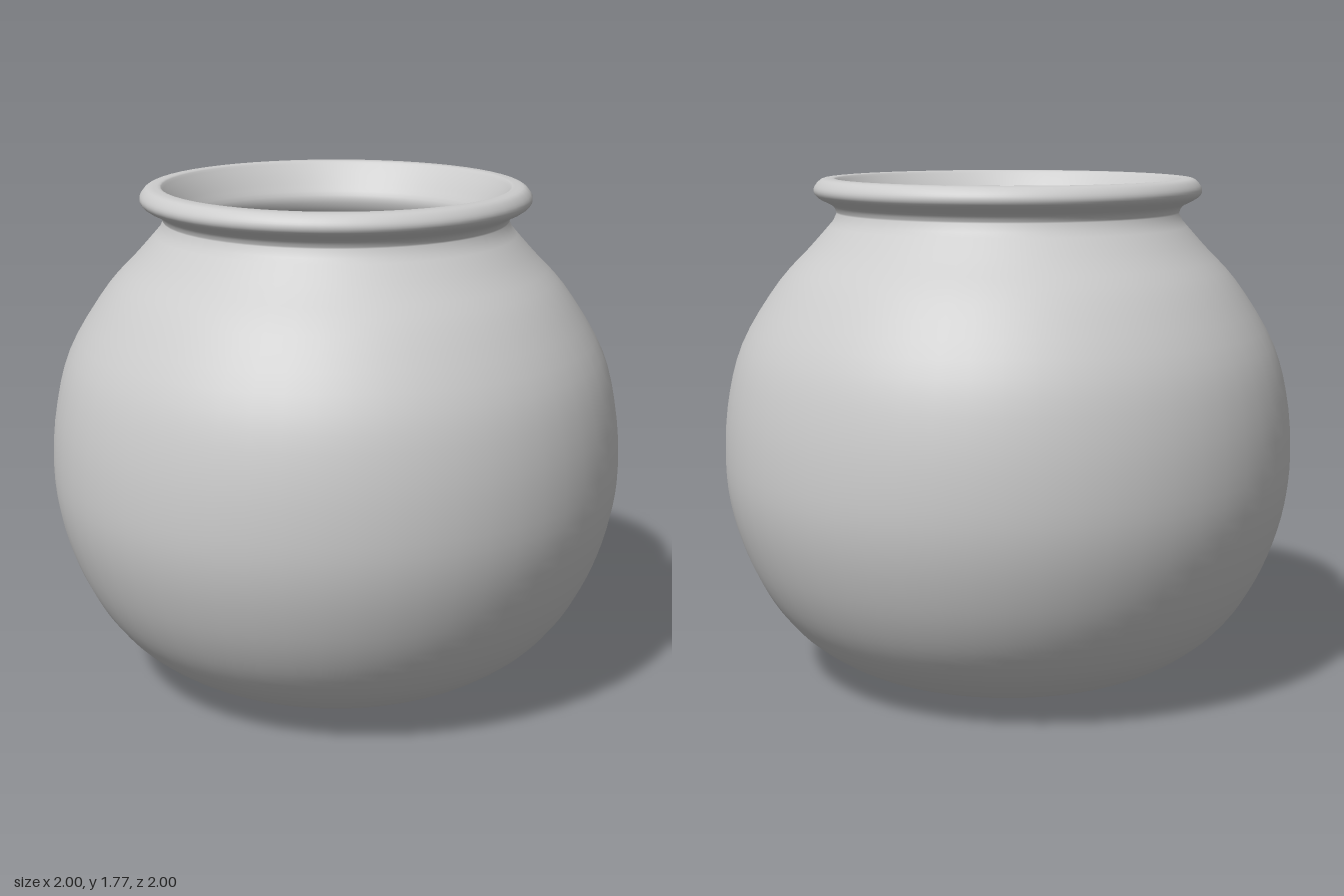
import * as THREE from 'three';

const mat = (color) => new THREE.MeshStandardMaterial({ color });
const grey = mat(0xcccccc), skin = mat(0xe8a876), green = mat(0x4fa850), blue = mat(0x6a9cc0);
const V2 = (p) => new THREE.Vector2(p[0], p[1]);

function add(parent, name, geometry, material, x = 0, y = 0, z = 0) {
  const mesh = new THREE.Mesh(geometry, material);
  mesh.name = name;
  mesh.position.set(x, y, z);
  parent.add(mesh);
  return mesh;
}

// Smooth curve through a few profile points
const smooth = (pts, n) => new THREE.SplineCurve(pts.map(V2)).getPoints(n);

// Thin fin drawn in the z-y plane, centred on x = 0
function finGeometry(pts, thickness = 0.012) {
  const shape = new THREE.Shape();
  shape.moveTo(...pts[0]);
  shape.splineThru(pts.slice(1).map(V2));
  shape.closePath();
  const g = new THREE.ExtrudeGeometry(shape, { depth: thickness, bevelEnabled: false, curveSegments: 16 });
  g.translate(0, 0, -thickness / 2);
  g.rotateY(-Math.PI / 2);
  return g;
}

function makeBowl() {
  // Outer wall, rolled rim, then back down the thick inner wall
  const outer = smooth([[0, 0.005], [0.2, 0.006], [0.4, 0.022], [0.5, 0.045], [0.6, 0.083], [0.7, 0.145],
    [0.78, 0.215], [0.86, 0.32], [0.93, 0.46], [0.982, 0.63], [1, 0.8], [0.984, 1.01], [0.928, 1.21],
    [0.805, 1.41], [0.69, 1.535], [0.61, 1.625]], 54);
  const rim = smooth([[0.597, 1.652], [0.61, 1.678], [0.66, 1.705], [0.675, 1.727], [0.668, 1.75],
    [0.645, 1.77], [0.605, 1.772]], 20);
  const throat = smooth([[0.6, 1.768], [0.575, 1.735], [0.545, 1.69], [0.52, 1.645], [0.53, 1.6], [0.56, 1.56]], 16);
  const inner = smooth([[0.63, 1.48], [0.735, 1.36], [0.85, 1.17], [0.905, 0.99], [0.92, 0.8], [0.903, 0.64],
    [0.857, 0.49], [0.79, 0.365], [0.72, 0.27], [0.65, 0.208], [0.57, 0.155], [0.47, 0.12], [0.38, 0.1],
    [0.2, 0.086], [0, 0.085]], 46);
  const bowl = new THREE.LatheGeometry([...outer, ...rim, ...throat, ...inner], 56);
  return new THREE.Mesh(bowl, grey);
}

function makeFish() {
  const fish = new THREE.Group();
  fish.name = 'fish';

  // Body: lathe along z, narrowed sideways, blunt head and slim tail root
  const body = new THREE.LatheGeometry(smooth([[0, -0.29], [0.04, -0.28], [0.075, -0.2], [0.15, -0.08],
    [0.188, 0.03], [0.195, 0.13], [0.178, 0.22], [0.13, 0.28], [0.07, 0.305], [0, 0.31]], 30), 28);
  body.rotateX(Math.PI / 2);
  body.scale(0.74, 1.1, 1);
  add(fish, 'fishBody', body, grey);

  // Lips and the low ridge of the gill cover
  const lips = add(fish, 'lips', new THREE.TorusGeometry(0.04, 0.016, 8, 20), grey, 0, -0.03, 0.298);
  lips.scale.set(1.1, 0.7, 1);
  const ridge = add(fish, 'gillRidge', new THREE.TorusGeometry(0.187, 0.012, 8, 32), grey, 0, 0, 0.1);
  ridge.scale.set(0.74, 1.1, 2);

  // Upright fins; the back fin thickens toward its root
  const dorsal = finGeometry([[0.08, 0.19], [0.03, 0.32], [-0.08, 0.415], [-0.14, 0.33],
    [-0.17, 0.2], [-0.27, 0.06]], 0.08);
  const p = dorsal.attributes.position;
  for (let i = 0; i < p.count; i++) p.setX(i, p.getX(i) * THREE.MathUtils.mapLinear(p.getY(i), 0.06, 0.42, 1, 0.1));
  dorsal.computeVertexNormals();
  add(fish, 'dorsalFin', dorsal, grey);
  add(fish, 'tailFin', finGeometry([[-0.24, 0.04], [-0.32, 0.12], [-0.43, 0.17], [-0.41, 0.08],
    [-0.38, 0], [-0.41, -0.08], [-0.43, -0.19], [-0.32, -0.13], [-0.24, -0.04]], 0.025), grey);
  add(fish, 'analFin', finGeometry([[0, -0.14], [-0.07, -0.25], [-0.16, -0.27], [-0.15, -0.16], [-0.16, -0.05]]), grey);

  // Paired eyes and side fins
  for (const s of [-1, 1]) {
    add(fish, 'eye', new THREE.SphereGeometry(0.05, 20, 14), grey, s * 0.092, 0.07, 0.225);
    const pectoral = add(fish, 'pectoralFin', finGeometry([[0.02, 0.03], [-0.06, 0.05], [-0.13, 0.02],
      [-0.12, -0.06], [-0.06, -0.06], [0.02, -0.02]], 0.018), grey, s * 0.135, -0.03, 0.07);
    pectoral.rotation.y = -s * 0.15;
    const pelvic = add(fish, 'pelvicFin', finGeometry([[0.03, 0.02], [-0.06, -0.03], [-0.16, -0.1],
      [-0.1, -0.12], [0, -0.07]], 0.016), grey, s * 0.07, -0.13, -0.07);
    pelvic.rotation.y = -s * 0.45;
  }
  fish.position.set(-0.312, 1.15, 0.15);
  fish.rotation.y = 0.37;
  return fish;
}

function makeFruitHouse() {
  const house = new THREE.Group();
  house.name = 'fruitHouse';
  const r = 0.22, h = 0.3;

  const fruit = add(house, 'fruitBody', new THREE.SphereGeometry(1, 24, 18), skin, 0, h - 0.01, 0);
  fruit.scale.set(r, h, r);

  // Ring of blunt, outward leaning leaves, longest toward the front
  for (let i = 0; i < 9; i++) {
    const a = (i / 9) * Math.PI * 2 + 0.05;
    const front = 0.5 + 0.5 * Math.cos(a);
    const length = 0.15 + 0.06 * front;
    const leaf = new THREE.LatheGeometry(smooth([[0, 0], [0.03, 0.01], [0.043, 0.35 * length],
      [0.035, 0.7 * length], [0.022, 0.94 * length], [0, length]], 12), 10);
    leaf.scale(1, 1, 0.6);
    leaf.rotateX(0.75 + 0.3 * front);
    leaf.translate(0, 0, 0.078);
    leaf.rotateY(a);
    add(house, 'leaf', leaf, green, 0.01, 2 * h - 0.06, 0);
  }

  // Door and round windows standing just proud of the wall
  const doorShape = new THREE.Shape();
  doorShape.moveTo(-0.045, 0);
  doorShape.lineTo(0.045, 0);
  doorShape.lineTo(0.045, 0.1);
  doorShape.absarc(0, 0.1, 0.045, 0, Math.PI);
  const door = new THREE.ExtrudeGeometry(doorShape, { depth: 0.06, bevelEnabled: false });
  add(house, 'door', door, blue, -0.05, 0.12, 0.17);
  for (const [a, y] of [[0.72, 0.34], [-1.4, 0.28]]) {
    const win = new THREE.CylinderGeometry(0.04, 0.04, 0.04, 20);
    win.rotateX(Math.PI / 2);
    win.translate(0, 0, r - 0.008);
    win.rotateY(a);
    add(house, 'window', win, blue, 0, y, 0);
    const frame = new THREE.TorusGeometry(0.042, 0.009, 8, 20);
    frame.translate(0, 0, r + 0.005);
    frame.rotateY(a);
    add(house, 'windowFrame', frame, blue, 0, y, 0);
  }
  house.position.set(0.015, 0.08, 0);
  return house;
}

export function createModel() {
  const model = new THREE.Group();
  const bowl = makeBowl();
  bowl.name = 'bowl';
  model.add(bowl, makeFish(), makeFruitHouse());
  return model;
}
